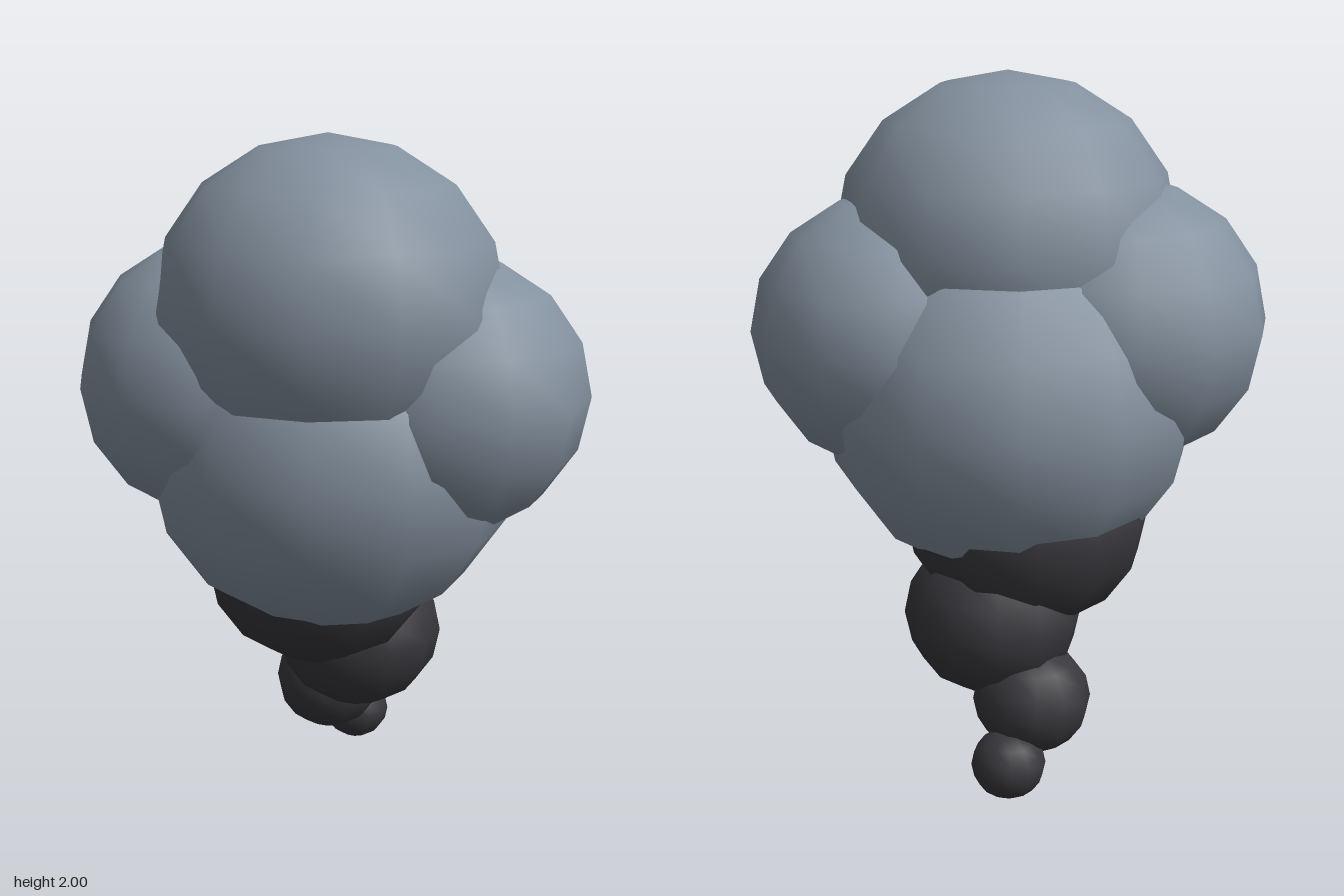
import * as THREE from 'three';

// Smoke cloud: pale billows on top of a dark, curling trail of puffs
export function createModel() {
  const model = new THREE.Group();
  model.name = 'smokeCloud';

  const paleSmoke = new THREE.MeshStandardMaterial({ color: 0x84919f });
  paleSmoke.name = 'paleSmoke';
  const darkSmoke = new THREE.MeshStandardMaterial({ color: 0x38373c });
  darkSmoke.name = 'darkSmoke';

  // One low-poly ball, slightly flattened, shared by every puff
  const ball = new THREE.SphereGeometry(1, 12, 8);

  const addPuff = (name, material, [x, y, z], radius, height) => {
    const puff = new THREE.Mesh(ball, material);
    puff.name = name;
    puff.position.set(x, y, z);
    puff.scale.set(radius, height, radius);
    model.add(puff);
  };

  // Billows
  addPuff('mainBillow', paleSmoke, [0, 1.09, -0.02], 0.555, 0.53);
  addPuff('topBillow', paleSmoke, [0, 1.53, 0.08], 0.5, 0.47);
  addPuff('leftBillow', paleSmoke, [0.32, 1.27, 0.02], 0.425, 0.405);
  addPuff('rightBillow', paleSmoke, [-0.31, 1.295, -0.01], 0.437, 0.415);

  // Trail, shrinking towards the ground
  addPuff('upperTrailPuff', darkSmoke, [-0.045, 0.75, -0.09], 0.36, 0.34);
  addPuff('middleTrailPuff', darkSmoke, [0.06, 0.475, -0.18], 0.258, 0.243);
  addPuff('lowerTrailPuff', darkSmoke, [-0.045, 0.25, -0.3], 0.17, 0.16);
  addPuff('trailTip', darkSmoke, [0.03, 0.1, -0.413], 0.106, 0.1);

  return model;
}
